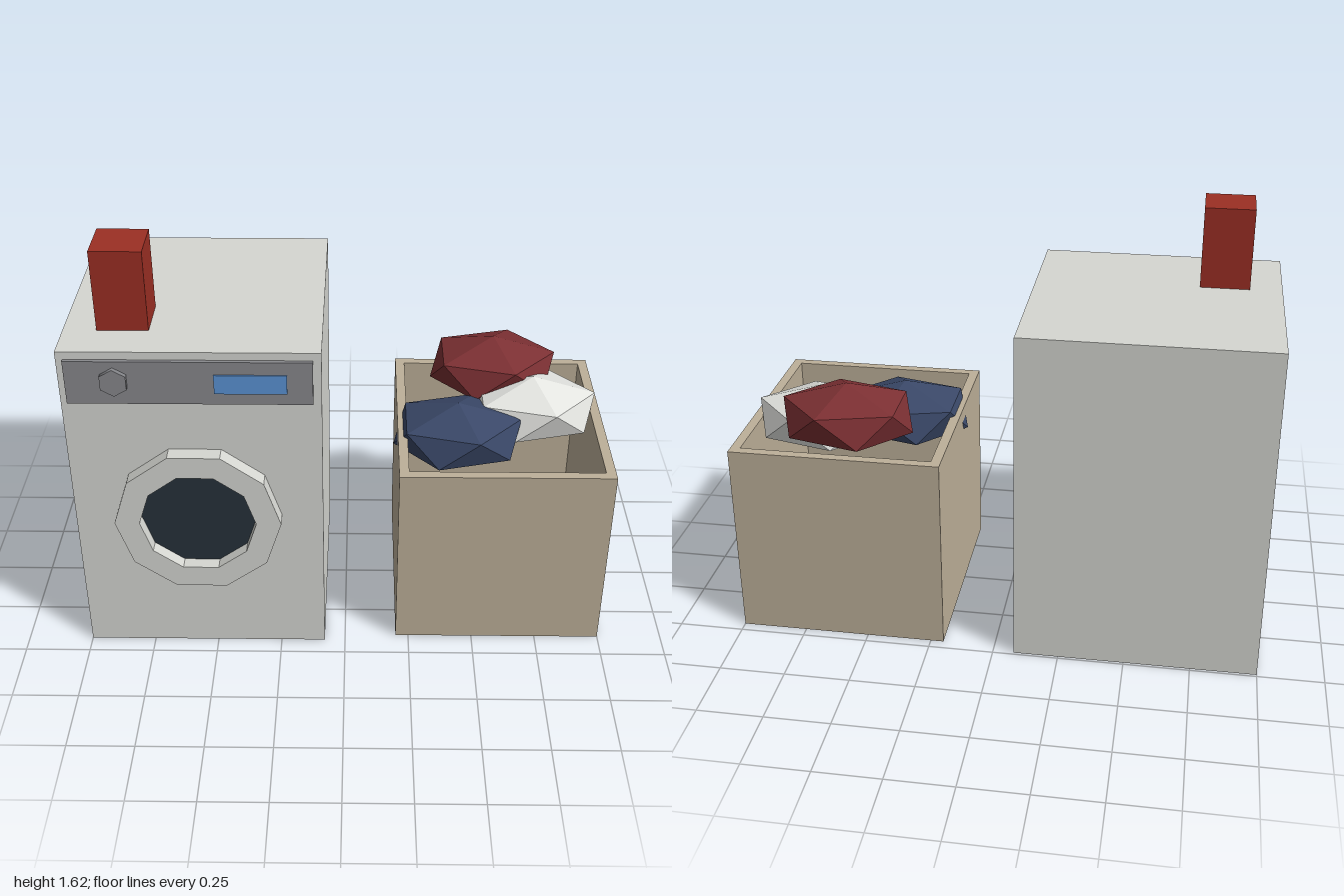
import * as THREE from 'three';

const mat = (name, color) => {
  const m = new THREE.MeshStandardMaterial({ color });
  m.name = name;
  return m;
};

export function createModel() {
  const enamel = mat('enamel', 0xd6d7d2);
  const panelGrey = mat('panelGrey', 0x88898d);
  const glassDark = mat('glassDark', 0x26313a);
  const displayBlue = mat('displayBlue', 0x5b94d6);
  const boxRed = mat('boxRed', 0x9c2f24);
  const basketTan = mat('basketTan', 0xbdb099);
  const clothRed = mat('clothRed', 0x7c3033);
  const clothBlue = mat('clothBlue', 0x3a4868);
  const clothWhite = mat('clothWhite', 0xe4e5e1);

  const model = new THREE.Group();
  model.name = 'laundryCorner';
  const washer = new THREE.Group();
  washer.name = 'washingMachine';
  const laundry = new THREE.Group();
  laundry.name = 'laundryBasket';
  model.add(washer, laundry);

  const add = (parent, name, geometry, material, x, y, z) => {
    const mesh = new THREE.Mesh(geometry, material);
    mesh.name = name;
    mesh.position.set(x, y, z);
    parent.add(mesh);
    return mesh;
  };
  // Box given by its minimum and maximum corners
  const block = (parent, name, material, [x0, y0, z0], [x1, y1, z1]) =>
    add(parent, name, new THREE.BoxGeometry(x1 - x0, y1 - y0, z1 - z0), material,
      (x0 + x1) / 2, (y0 + y1) / 2, (z0 + z1) / 2);
  // Closed outline with a hole, extruded along z
  const frame = (outer, inner, depth) => {
    const shape = new THREE.Shape(outer);
    shape.holes.push(new THREE.Path(inner));
    return new THREE.ExtrudeGeometry(shape, { depth, bevelEnabled: false });
  };
  const polygon = (radius, sides) => Array.from({ length: sides }, (_, i) => {
    const a = (i / sides) * Math.PI * 2;
    return new THREE.Vector2(radius * Math.cos(a), radius * Math.sin(a));
  });
  const rectangle = (w, h) => [[-1, -1], [1, -1], [1, 1], [-1, 1]]
    .map(([x, y]) => new THREE.Vector2(x * w / 2, y * h / 2));

  // Washing machine
  block(washer, 'body', enamel, [-1, 0, -0.49], [-0.08, 1.31, 0.43]);
  block(washer, 'controlPanel', panelGrey, [-0.975, 1.11, 0.43], [-0.11, 1.28, 0.445]);
  block(washer, 'display', displayBlue, [-0.455, 1.155, 0.445], [-0.2, 1.23, 0.45]);
  const knob = new THREE.CylinderGeometry(0.053, 0.053, 0.018, 6).rotateX(Math.PI / 2);
  add(washer, 'knob', knob, panelGrey, -0.803, 1.203, 0.454);

  // Ten-sided door ring with recessed glass
  const ring = frame(polygon(0.307, 10), polygon(0.215, 10), 0.06);
  add(washer, 'doorRing', ring, enamel, -0.54, 0.617, 0.43);
  add(washer, 'doorGlass', new THREE.CircleGeometry(0.215, 10), glassDark, -0.54, 0.617, 0.44);

  // Detergent box on top
  block(washer, 'detergentBox', boxRed, [-0.88, 1.31, 0.093], [-0.695, 1.617, 0.278]);

  // Open basket: four walls and a floor
  const walls = frame(rectangle(0.8, 0.86), rectangle(0.726, 0.786), 0.77).rotateX(-Math.PI / 2);
  add(laundry, 'basketWalls', walls, basketTan, 0.6, 0, -0.03);
  block(laundry, 'basketFloor', basketTan, [0.237, 0, -0.423], [0.963, 0.037, 0.363]);

  // Crumpled clothes: squashed icosahedra standing on a corner
  const bundle = new THREE.IcosahedronGeometry(1, 0)
    .rotateZ(-Math.atan(2 / (1 + Math.sqrt(5))))
    .scale(0.277, 0.131, 0.215);
  add(laundry, 'redCloth', bundle, clothRed, 0.585, 0.861, -0.265);
  add(laundry, 'whiteCloth', bundle, clothWhite, 0.735, 0.769, -0.105);
  add(laundry, 'blueCloth', bundle, clothBlue, 0.433, 0.74, 0.046);

  return model;
}
